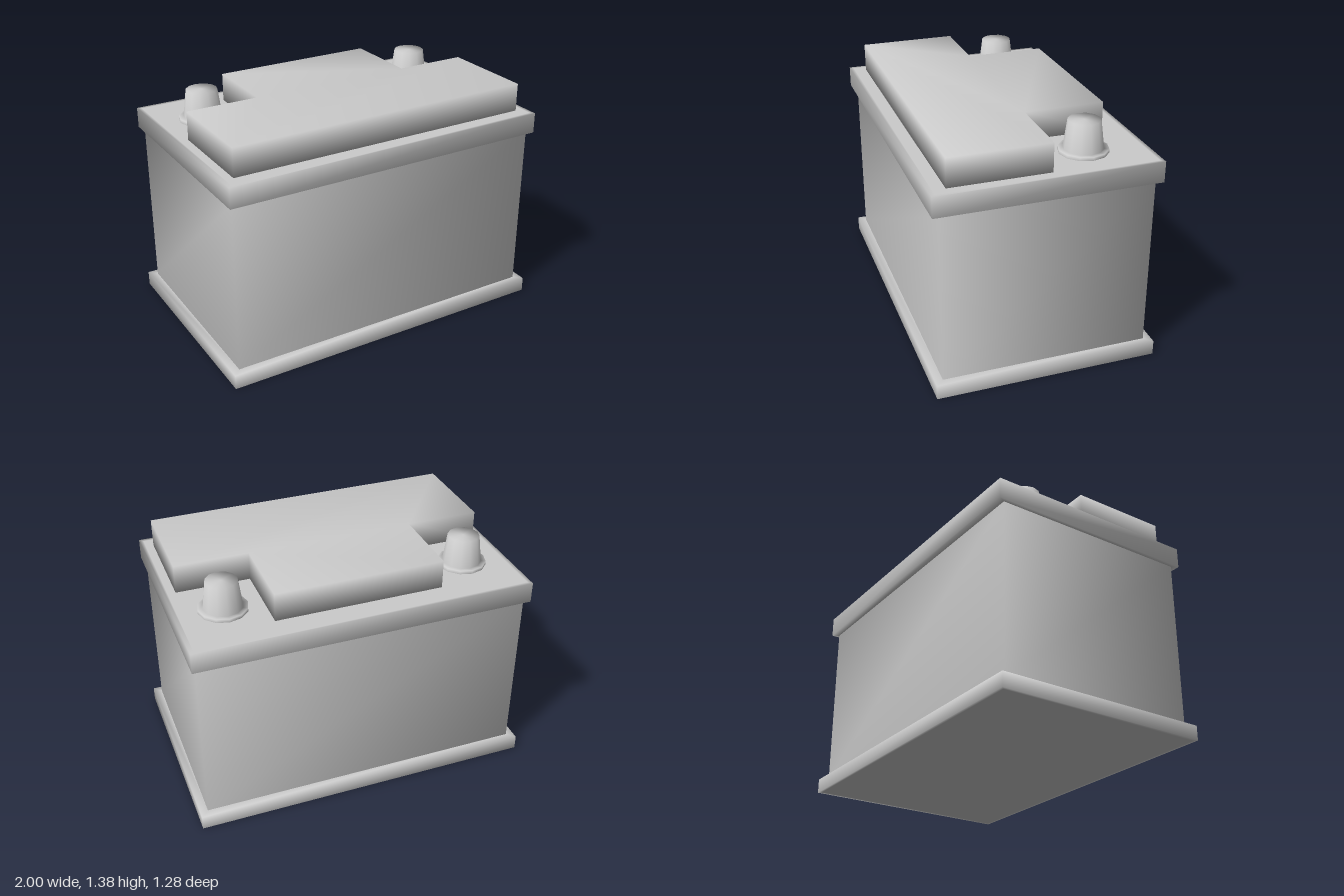
import * as THREE from 'three';
import { mergeVertices } from 'three/addons/utils/BufferGeometryUtils.js';

const material = new THREE.MeshStandardMaterial({ color: 0xcccccc });

function part(name, geometry) {
  const mesh = new THREE.Mesh(geometry, material);
  mesh.name = name;
  return mesh;
}

// Smooth shell through rectangular rings [halfX, halfZ, y], listed bottom to top
function rectLoft(rings, { capBottom = false, capTop = false } = {}) {
  const positions = [], index = [];
  for (const [x, z, y] of rings) positions.push(x, y, z, x, y, -z, -x, y, -z, -x, y, z);
  for (let r = 0; r < rings.length - 1; r++) {
    for (let i = 0; i < 4; i++) {
      const a = r * 4 + i, b = r * 4 + (i + 1) % 4;
      index.push(a, b, b + 4, a, b + 4, a + 4);
    }
  }
  if (capBottom) index.push(0, 2, 1, 0, 3, 2);
  const t = (rings.length - 1) * 4;
  if (capTop) index.push(t, t + 1, t + 2, t, t + 2, t + 3);
  const g = new THREE.BufferGeometry();
  g.setAttribute('position', new THREE.Float32BufferAttribute(positions, 3));
  g.setIndex(index);
  g.computeVertexNormals();
  return g;
}

// Raised T-shaped cover, wide at the front and narrow between the terminals
function coverGeometry() {
  const outline = [
    [-0.91, -0.54], [0.91, -0.54], [0.91, 0.03], [0.485, 0.03],
    [0.485, 0.49], [-0.485, 0.49], [-0.485, 0.03], [-0.91, 0.03],
  ].map(([x, y]) => new THREE.Vector2(x, y));
  let g = new THREE.ExtrudeGeometry(new THREE.Shape(outline), { depth: 0.165, bevelEnabled: false });
  g.rotateX(-Math.PI / 2).translate(0, 1.2, 0);
  g.deleteAttribute('normal');
  g.deleteAttribute('uv');
  g = mergeVertices(g);
  g.computeVertexNormals();
  return g;
}

export function createModel() {
  const model = new THREE.Group();
  model.name = 'battery';

  // Case: foot rim, walls and lid
  model.add(part('baseRim', rectLoft([
    [0.98, 0.62, 0], [1, 0.638, 0], [1, 0.638, 0.085], [0.955, 0.593, 0.085],
  ], { capBottom: true })));
  model.add(part('caseWalls', rectLoft([[0.955, 0.593, 0.085], [0.955, 0.593, 1.08]])));
  model.add(part('lid', rectLoft([
    [0.955, 0.593, 1.08], [0.978, 0.632, 1.08], [0.978, 0.632, 1.2], [0.955, 0.609, 1.2],
  ], { capTop: true })));

  model.add(part('raisedCover', coverGeometry()));

  // Terminal posts with flanges
  const profile = [[0.139, 1.2], [0.139, 1.22], [0.111, 1.22], [0.09, 1.38], [0, 1.38]]
    .map(([r, y]) => new THREE.Vector2(r, y));
  for (const side of [-1, 1]) {
    const post = part(side > 0 ? 'leftTerminal' : 'rightTerminal', new THREE.LatheGeometry(profile, 12));
    post.position.set(side * 0.71, 0, -0.28);
    model.add(post);
  }
  return model;
}
